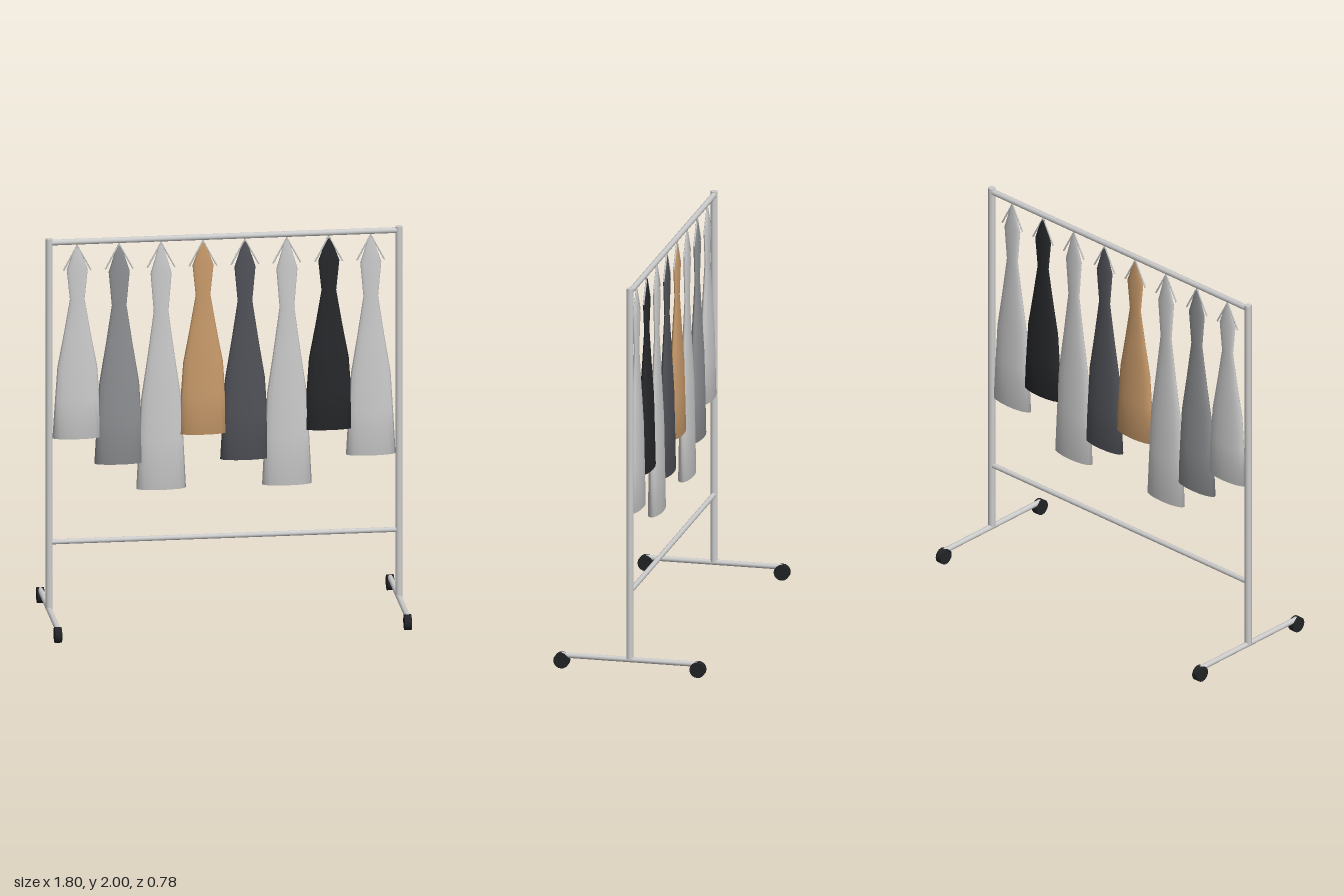
import * as THREE from 'three';

const mat = (color, side = THREE.FrontSide) => new THREE.MeshStandardMaterial({ color, side });
const UP = new THREE.Vector3(0, 1, 0);

// Straight round bar between two points
function bar(name, a, b, radius, material, sides = 12) {
  const from = new THREE.Vector3(...a), to = new THREE.Vector3(...b);
  const dir = to.clone().sub(from);
  const mesh = new THREE.Mesh(new THREE.CylinderGeometry(radius, radius, dir.length(), sides), material);
  mesh.position.copy(from).add(to).multiplyScalar(0.5);
  mesh.quaternion.setFromUnitVectors(UP, dir.normalize());
  mesh.name = name;
  return mesh;
}

// Flattened, closed garment turned from a profile; hem is its lowest height
function garment(hem, material) {
  const top = 1.96, length = top - hem;
  const profile = [
    [0, 1], [0.125, 1], [0.112, 0.8], [0.1, 0.63], [0.068, 0.46],
    [0.037, 0.28], [0.053, 0.125], [0.01, 0.008], [0, 0],
  ].map(([r, t]) => new THREE.Vector2(r, top - t * length));
  const mesh = new THREE.Mesh(new THREE.LatheGeometry(profile, 16), material);
  mesh.scale.z = 0.28;
  mesh.name = 'garment';
  return mesh;
}

export function createModel() {
  const root = new THREE.Group();
  root.name = 'clothesRack';
  const metal = mat(0xcccccc), rubber = mat(0x222326);

  // Two uprights, each on a foot bar with a wheel at either end
  for (const side of [-1, 1]) {
    const x = side * 0.88;
    const end = new THREE.Group();
    end.name = side > 0 ? 'leftEnd' : 'rightEnd';
    end.add(bar('upright', [x, 0.07, 0], [x, 2, 0], 0.018, metal, 16));
    end.add(bar('footBar', [x, 0.067, -0.35], [x, 0.067, 0.35], 0.014, metal));
    for (const z of [-0.35, 0.35]) {
      end.add(bar('wheel', [x - 0.0175, 0.04, z], [x + 0.0175, 0.04, z], 0.04, rubber, 16));
    }
    root.add(end);
  }

  // Hanging rail and lower brace
  root.add(bar('topRail', [-0.88, 1.98, 0], [0.88, 1.98, 0], 0.015, metal));
  root.add(bar('lowerRail', [-0.88, 0.42, 0], [0.88, 0.42, 0], 0.013, metal));

  // Row of garments: colour and hem height
  const row = [
    [0xcccccc, 0.96], [0x8d8f92, 0.82], [0xcccccc, 0.68], [0xc99b6b, 0.96],
    [0x505258, 0.82], [0xcccccc, 0.68], [0x27282b, 0.96], [0xcccccc, 0.82],
  ];
  row.forEach(([color, hem], i) => {
    const item = new THREE.Group();
    item.name = 'hangingGarment';
    item.position.x = (i - 3.5) * 0.211;
    item.add(garment(hem, mat(color, THREE.DoubleSide)));
    // Wire hanger: short neck and two sloping arms
    item.add(bar('hangerNeck', [0, 1.95, 0], [0, 1.98, 0], 0.004, metal, 6));
    for (const s of [-1, 1]) {
      item.add(bar('hangerArm', [0, 1.96, 0], [s * 0.07, 1.83, 0], 0.004, metal, 6));
    }
    root.add(item);
  });
  return root;
}
